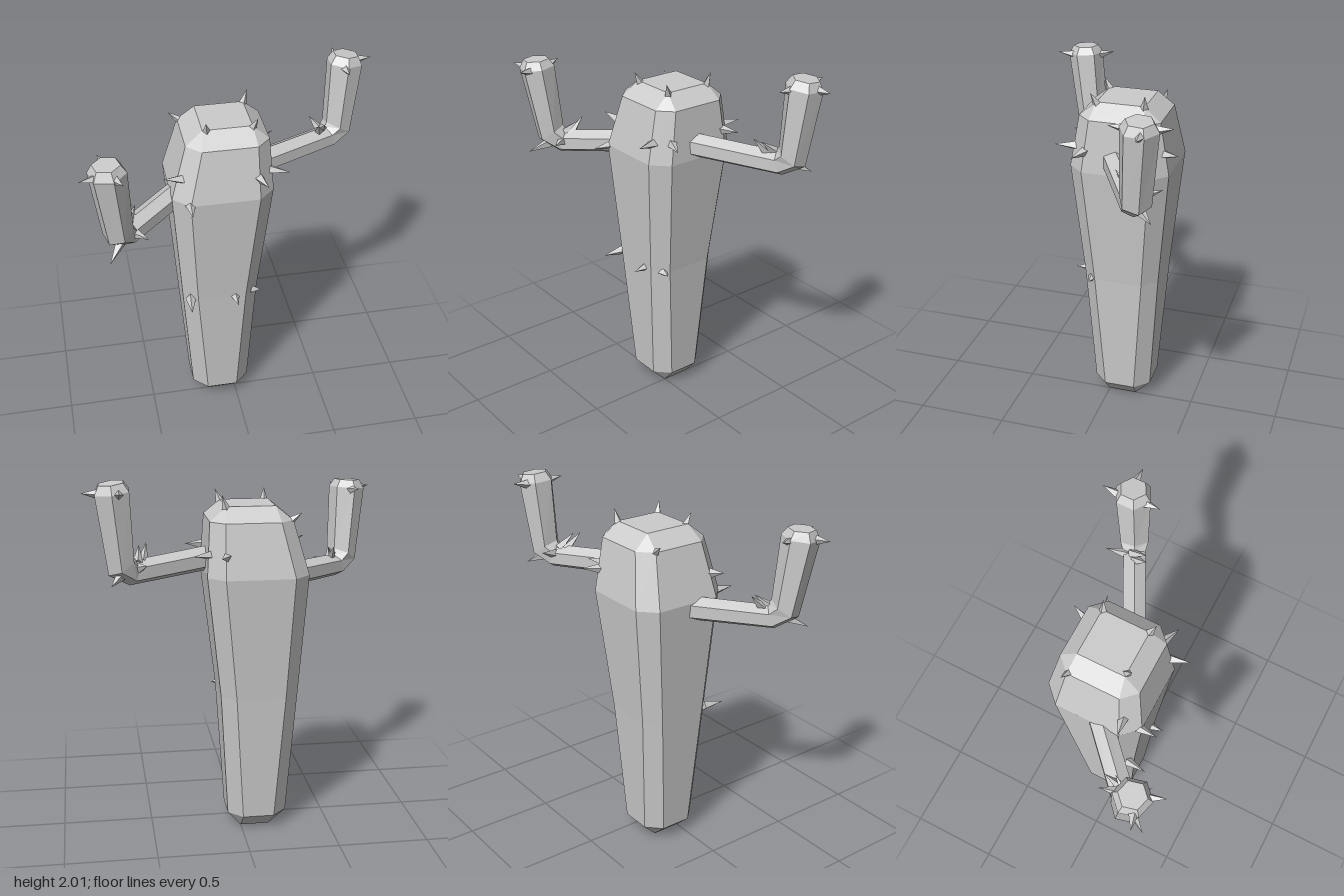
import * as THREE from 'three';

const material = new THREE.MeshStandardMaterial({ color: 0xcccccc, flatShading: true });
const V = (x, y, z) => new THREE.Vector3(x, y, z);

// Skin a stack of rings (counter-clockwise about the stacking direction) and close both ends.
function loft(rings) {
  const pts = [];
  const tri = (a, b, c) => {
    const area = b.clone().sub(a).cross(c.clone().sub(a)).length();
    if (area > 1e-7) pts.push(a, b, c);
  };
  const n = rings[0].length;
  for (let r = 0; r < rings.length - 1; r++) {
    const a = rings[r], b = rings[r + 1];
    for (let i = 0; i < n; i++) {
      const j = (i + 1) % n;
      tri(a[i], a[j], b[j]);
      tri(a[i], b[j], b[i]);
    }
  }
  const first = rings[0], last = rings[rings.length - 1];
  for (let i = 1; i < n - 1; i++) {
    tri(first[0], first[i + 1], first[i]);
    tri(last[0], last[i], last[i + 1]);
  }
  const geometry = new THREE.BufferGeometry().setFromPoints(pts);
  geometry.computeVertexNormals();
  return geometry;
}

// Square ring with cut corners: h is the half width, f the half width of the flat side.
function trunkRing([y, cx, cz, h, f]) {
  return [[-f, h], [f, h], [h, f], [h, -f], [f, -h], [-f, -h], [-h, -f], [-h, f]]
    .map(([x, z]) => V(cx + x, y, cz + z));
}

// Six-sided bent arm along [x, y, z, radius] stations, ridge kept in the bending plane.
function armGeometry(stations) {
  const p = stations.map(([x, y, z]) => V(x, y, z));
  const end = p[p.length - 1];
  const side = V(end.z - p[0].z, 0, p[0].x - end.x).normalize();
  const step = (i) => p[i + 1].clone().sub(p[i]).normalize();
  return loft(p.map((c, i) => {
    const t = V(0, 0, 0);
    if (i > 0) t.add(step(i - 1));
    if (i < p.length - 1) t.add(step(i));
    t.normalize();
    const up = t.clone().cross(side).normalize();
    return Array.from({ length: 6 }, (_, k) => {
      const a = Math.PI / 6 + k * Math.PI / 3, r = stations[i][3];
      return c.clone().addScaledVector(side, r * Math.cos(a)).addScaledVector(up, r * Math.sin(a));
    });
  }));
}

// Four-sided thorns, each given by its base and tip.
function thorns(name, list) {
  const group = new THREE.Group();
  group.name = name;
  for (const [bx, by, bz, tx, ty, tz] of list) {
    const base = V(bx, by, bz), axis = V(tx, ty, tz).sub(base);
    const length = axis.length();
    const geometry = new THREE.ConeGeometry(0.03, length + 0.02, 4);
    geometry.translate(0, length / 2 - 0.01, 0);
    const thorn = new THREE.Mesh(geometry, material);
    thorn.name = 'thorn';
    thorn.position.copy(base);
    thorn.quaternion.setFromUnitVectors(V(0, 1, 0), axis.normalize());
    group.add(thorn);
  }
  return group;
}

function part(name, geometry) {
  const mesh = new THREE.Mesh(geometry, material);
  mesh.name = name;
  return mesh;
}

export function createModel() {
  const model = new THREE.Group();
  model.name = 'cactus';

  // Trunk: narrow foot, widest at the shoulder, bevelled crown
  model.add(part('trunk', loft([
    [0, -0.08, -0.08, 0.08, 0.08],
    [0.085, -0.09, -0.08, 0.165, 0.087],
    [0.8, -0.095, -0.08, 0.212, 0.135],
    [1.48, -0.08, -0.082, 0.273, 0.185],
    [1.77, -0.047, -0.082, 0.222, 0.147],
    [1.845, -0.045, -0.083, 0.132, 0.132],
  ].map(trunkRing))));

  // Arms: out of the trunk, round the elbow, up to a bevelled tip
  model.add(part('leftArm', armGeometry([
    [0, 1.56, 0.01, 0.068], [0.585, 1.53, -0.295, 0.068], [0.645, 1.575, -0.325, 0.085],
    [0.68, 1.955, -0.35, 0.1], [0.685, 2, -0.353, 0.072],
  ])));
  model.add(part('rightArm', armGeometry([
    [-0.18, 1.445, -0.15, 0.068], [-0.61, 1.415, 0.26, 0.068], [-0.66, 1.465, 0.31, 0.085],
    [-0.695, 1.85, 0.36, 0.1], [-0.697, 1.895, 0.362, 0.072],
  ])));

  // Thorns on the crown, shoulder and middle of the trunk
  model.add(thorns('trunkThorns', [
    [-0.155, 1.83, 0.045, -0.162, 1.9, 0.08],
    [0.085, 1.83, 0.045, 0.11, 1.9, 0.075],
    [0.085, 1.83, -0.21, 0.11, 1.91, -0.22],
    [-0.25, 1.76, -0.22, -0.315, 1.81, -0.235],
    [-0.31, 1.6, 0.1, -0.395, 1.62, 0.12],
    [0.105, 1.595, 0.17, 0.13, 1.6, 0.27],
    [0.18, 1.595, 0.09, 0.275, 1.59, 0.13],
    [0.18, 1.6, -0.25, 0.27, 1.6, -0.29],
    [0.1, 1.6, -0.33, 0.135, 1.61, -0.415],
    [-0.265, 1.475, 0.18, -0.27, 1.475, 0.28],
    [-0.27, 0.8, 0.12, -0.28, 0.795, 0.225],
    [-0.02, 0.8, 0.13, -0.015, 0.795, 0.205],
    [0.1, 0.795, 0.08, 0.135, 0.79, 0.085],
  ]));

  // Thorns round the arm tips and elbows
  model.add(thorns('leftArmThorns', [
    [0.755, 1.95, -0.375, 0.835, 1.955, -0.375],
    [0.65, 1.95, -0.425, 0.65, 1.965, -0.51],
    [0.665, 1.95, -0.27, 0.665, 1.955, -0.19],
    [0.655, 1.52, -0.36, 0.7, 1.485, -0.42],
    [0.525, 1.59, -0.25, 0.505, 1.665, -0.18],
    [0.555, 1.59, -0.28, 0.545, 1.655, -0.2],
    [0.55, 1.56, -0.34, 0.515, 1.59, -0.43],
  ]));
  model.add(thorns('rightArmThorns', [
    [-0.765, 1.845, 0.4, -0.84, 1.85, 0.425],
    [-0.66, 1.845, 0.43, -0.63, 1.86, 0.51],
    [-0.7, 1.845, 0.28, -0.73, 1.86, 0.2],
    [-0.66, 1.4, 0.34, -0.72, 1.35, 0.43],
    [-0.58, 1.47, 0.22, -0.58, 1.545, 0.145],
    [-0.6, 1.47, 0.26, -0.555, 1.535, 0.19],
    [-0.57, 1.43, 0.3, -0.51, 1.44, 0.38],
  ]));

  return model;
}
